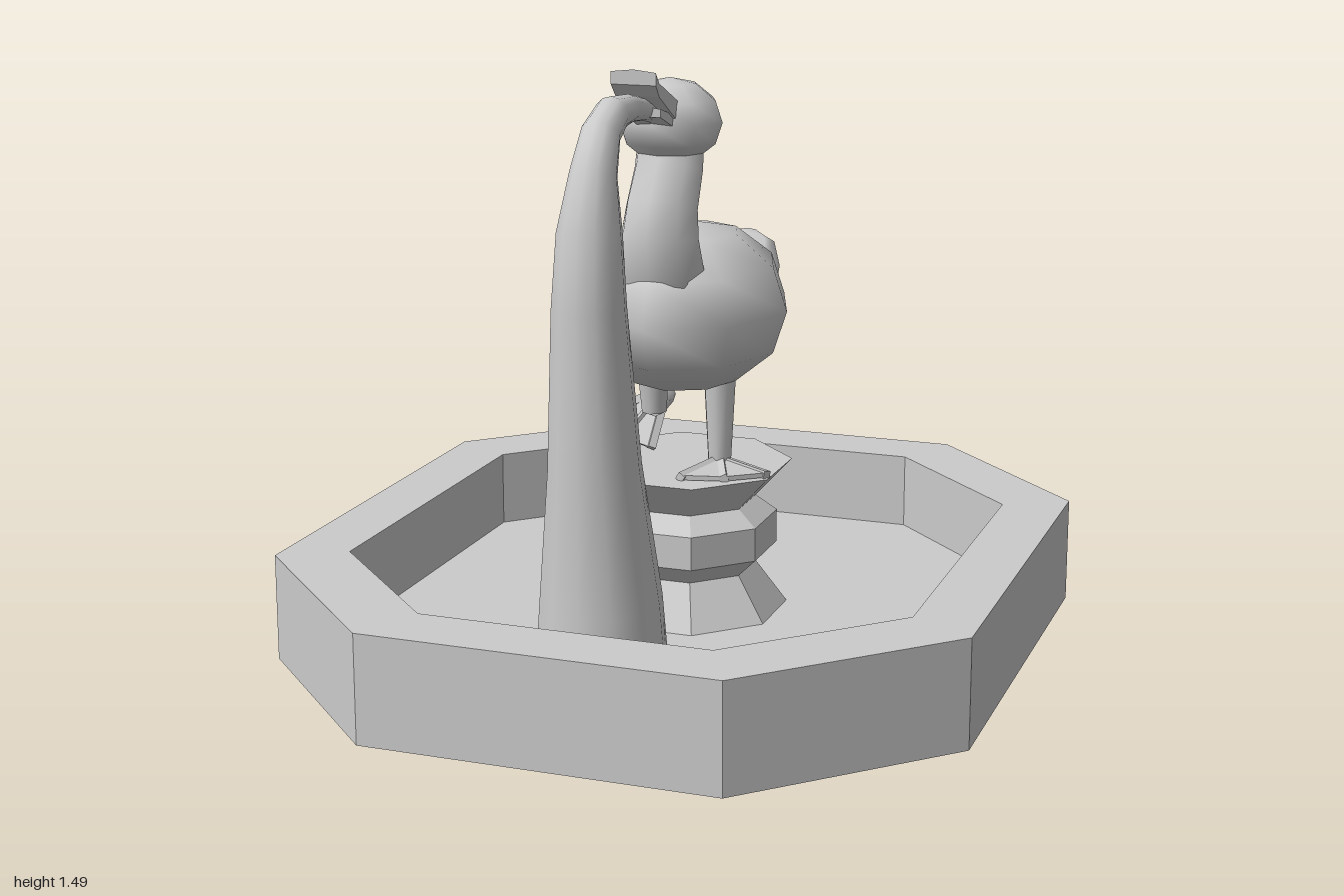
import * as THREE from 'three';
import { ConvexGeometry } from 'three/addons/geometries/ConvexGeometry.js';

const smooth = new THREE.MeshStandardMaterial({ color: 0xcccccc, side: THREE.DoubleSide });
const flat = new THREE.MeshStandardMaterial({ color: 0xcccccc, side: THREE.DoubleSide, flatShading: true });
const V = (x, y, z) => new THREE.Vector3(x, y, z);

function part(name, geometry, material) {
  const mesh = new THREE.Mesh(geometry, material);
  mesh.name = name;
  return mesh;
}

// Skin a list of equal-sized closed rings
function loft(rings) {
  const n = rings[0].length, index = [];
  for (let i = 0; i < rings.length - 1; i++) {
    for (let j = 0; j < n; j++) {
      const a = i * n + j, b = i * n + (j + 1) % n;
      index.push(a, b, b + n, a, b + n, a + n);
    }
  }
  const g = new THREE.BufferGeometry().setFromPoints(rings.flat());
  g.setIndex(index);
  g.computeVertexNormals();
  return g;
}

// Octagon at height y: half sizes a, b and corner cut c
function octagon(a, b, c, y) {
  const p = a - c, q = b - c;
  return [[a, -q], [a, q], [p, b], [-p, b], [-a, q], [-a, -q], [-p, -b], [p, -b]]
    .map(([x, w]) => V(x, y, -w));
}

// Oval tube along a path in the middle plane; stations are [z, y, half width, half thickness]
function sweep(stations, sides) {
  return loft(stations.map(([z, y, rx, rn], i) => {
    const [z0, y0] = stations[Math.max(i - 1, 0)];
    const [z1, y1] = stations[Math.min(i + 1, stations.length - 1)];
    const t = V(0, y1 - y0, z1 - z0).normalize();
    return Array.from({ length: sides }, (_, j) => {
      const a = j / sides * Math.PI * 2, s = Math.sin(a) * (rn ?? rx);
      return V(Math.cos(a) * rx, y + s * t.z, z - s * t.y);
    });
  }));
}

function ellipsoid(name, rx, ry, rz, y, z) {
  const mesh = part(name, new THREE.SphereGeometry(1, 8, 6).scale(rx, ry, rz), smooth);
  mesh.position.set(0, y, z);
  return mesh;
}

// Tapered rod between two points
function rod(name, from, to, r0, r1, sides, material) {
  const d = to.clone().sub(from);
  const mesh = part(name, new THREE.CylinderGeometry(r1, r0, d.length(), sides), material);
  mesh.position.copy(from).addScaledVector(d, 0.5);
  mesh.quaternion.setFromUnitVectors(V(0, 1, 0), d.normalize());
  return mesh;
}

// Webbed foot: thin web with three toe ridges
function foot(name, heel, toeA, toeB) {
  const group = new THREE.Group();
  group.name = name;
  const middle = toeA.clone().add(toeB).multiplyScalar(0.5).sub(heel).multiplyScalar(1.15).add(heel);
  const normal = toeA.clone().sub(heel).cross(toeB.clone().sub(heel)).setLength(0.006);
  const web = [heel, toeA, middle, toeB].flatMap(p => [p.clone().add(normal), p.clone().sub(normal)]);
  group.add(part('web', new ConvexGeometry(web), flat));
  for (const toe of [toeA, middle, toeB]) group.add(rod('toe', heel, toe, 0.014, 0.014, 4, flat));
  return group;
}

// Slab following [z, y] stations, with half width and half thickness
function billPart(name, stations) {
  return part(name, loft(stations.map(([z, y, w, h]) => [
    V(w, y - h, z), V(w, y + h, z), V(0, y + h * 1.4, z), V(-w, y + h, z), V(-w, y - h, z),
  ])), flat);
}

export function createModel() {
  const model = new THREE.Group();
  model.name = 'duckFountain';

  // Basin, open underneath the rim
  model.add(part('basin', loft([
    octagon(0.88, 1, 0.44, 0), octagon(0.88, 1, 0.44, 0.27),
    octagon(0.72, 0.83, 0.36, 0.27), octagon(0.72, 0.83, 0.36, 0.07), octagon(0, 0, 0, 0.07),
  ]), flat));

  // Pedestal
  const profile = [[0.25, 0.055], [0.165, 0.18], [0.215, 0.23], [0.215, 0.315], [0.165, 0.355], [0.25, 0.45], [0, 0.45]];
  model.add(part('pedestal', loft(profile.map(([r, y]) => octagon(r, r, r * 0.586, y))), flat));

  // Water spout rising and bending to the bill
  model.add(part('spout', sweep([
    [0.587, 0.02, 0.165], [0.592, 0.27, 0.146], [0.625, 0.6, 0.11], [0.652, 0.98, 0.087],
    [0.645, 1.15, 0.076], [0.618, 1.28, 0.055], [0.57, 1.365, 0.046], [0.5, 1.4, 0.042],
    [0.4, 1.4, 0.033], [0.3, 1.385, 0.026], [0.2, 1.36, 0.024],
  ], 12), smooth));

  // Duck
  const duck = new THREE.Group();
  duck.name = 'duck';
  model.add(duck);
  duck.add(ellipsoid('body', 0.265, 0.215, 0.317, 0.855, 0));
  duck.add(ellipsoid('head', 0.135, 0.105, 0.125, 1.335, 0.117));
  duck.add(part('neck', sweep([
    [0.11, 1.29, 0.085, 0.08], [0.125, 1.22, 0.088, 0.08], [0.175, 1.13, 0.092, 0.09],
    [0.19, 1.06, 0.1, 0.095], [0.185, 0.97, 0.115, 0.085], [0.14, 0.88, 0.1, 0.08],
  ], 8), smooth));
  duck.add(part('tail', sweep([
    [-0.2, 0.845, 0.12, 0.05], [-0.27, 0.868, 0.152, 0.05], [-0.35, 0.897, 0.135, 0.042],
    [-0.46, 0.938, 0.085, 0.022], [-0.5, 0.952, 0.03, 0.012], [-0.507, 0.955, 0, 0],
  ], 8), smooth));

  // Open bill
  duck.add(billPart('upperBill', [
    [0.2, 1.37, 0, 0], [0.2, 1.37, 0.05, 0.025], [0.34, 1.437, 0.055, 0.016],
    [0.365, 1.465, 0.056, 0.015], [0.365, 1.465, 0, 0],
  ]));
  duck.add(billPart('lowerBill', [
    [0.19, 1.34, 0, 0], [0.19, 1.34, 0.045, 0.016], [0.305, 1.378, 0.045, 0.01], [0.305, 1.378, 0, 0],
  ]));

  // Standing leg and raised leg
  duck.add(rod('leftLeg', V(0.09, 0.45, 0), V(0.09, 0.69, 0), 0.03, 0.043, 8, smooth));
  duck.add(foot('leftFoot', V(0.09, 0.458, -0.01), V(0.245, 0.458, 0.09), V(0.05, 0.458, 0.185)));
  duck.add(rod('rightThigh', V(-0.09, 0.57, -0.01), V(-0.09, 0.69, 0), 0.034, 0.043, 8, smooth));
  duck.add(rod('rightShin', V(-0.09, 0.585, -0.01), V(-0.1, 0.585, -0.12), 0.032, 0.028, 8, smooth));
  duck.add(foot('rightFoot', V(-0.1, 0.605, -0.14), V(-0.245, 0.525, -0.09), V(-0.11, 0.46, -0.04)));

  return model;
}
